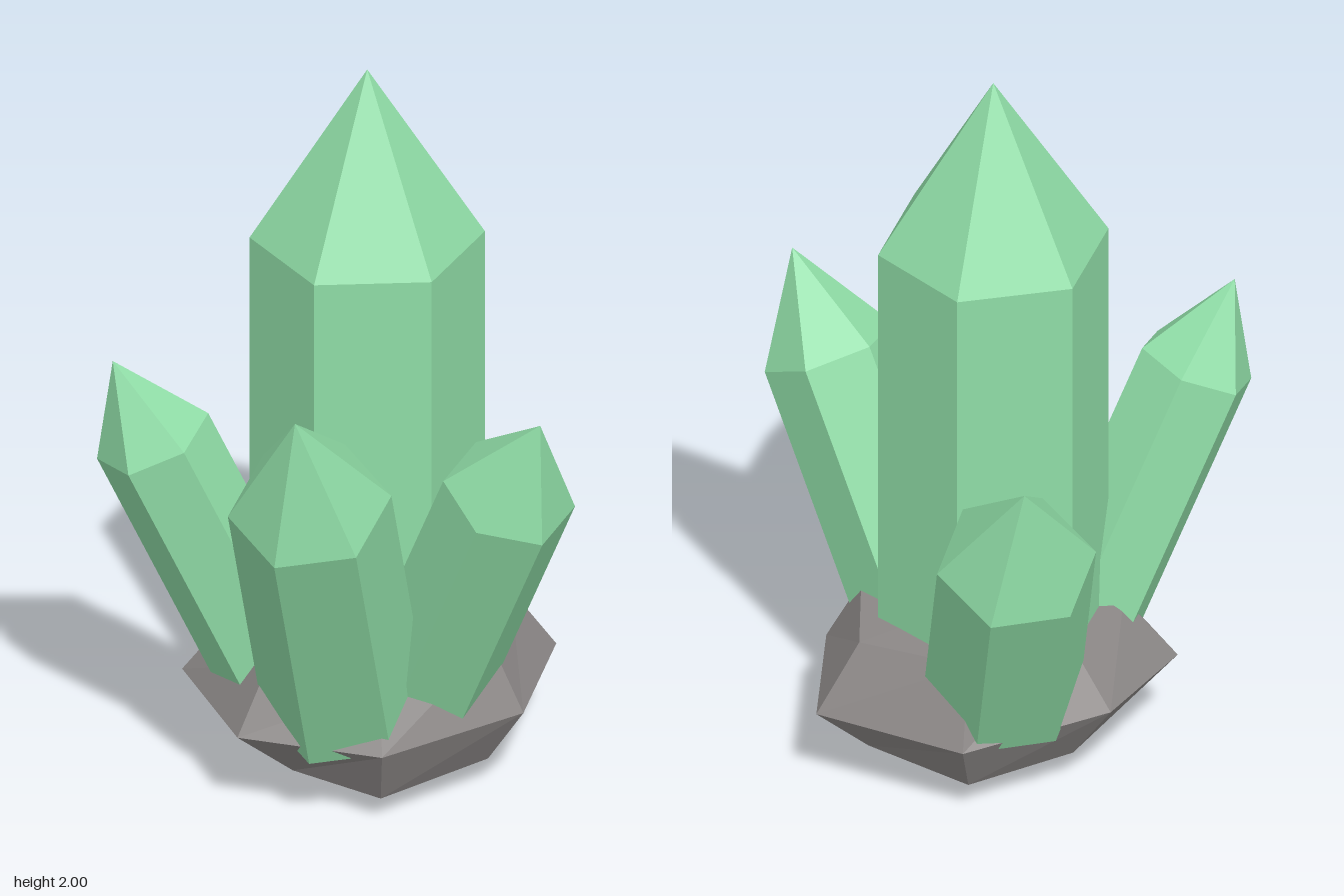
import * as THREE from 'three';

const crystalMat = new THREE.MeshStandardMaterial({ color: 0x8fdca6, flatShading: true });
const rockMat = new THREE.MeshStandardMaterial({ color: 0x8c8887, flatShading: true });

// Six-sided prism with a pointed tip; shoulder = centre of the ring below the tip
function crystal(name, radius, shoulder, tip, baseY) {
  const top = new THREE.Vector3(...tip);
  const ring = new THREE.Vector3(...shoulder);
  const axis = top.clone().sub(ring);
  const tipLength = axis.length();
  axis.normalize();
  const bodyLength = (ring.y - baseY) / axis.y;
  const profile = [
    [0, 0], [radius, 0], [radius, bodyLength], [0, bodyLength + tipLength],
  ].map(([x, y]) => new THREE.Vector2(x, y));
  const mesh = new THREE.Mesh(new THREE.LatheGeometry(profile, 6), crystalMat);
  mesh.name = name;
  mesh.quaternion.setFromUnitVectors(new THREE.Vector3(0, 1, 0), axis);
  mesh.position.copy(ring).addScaledVector(axis, -bodyLength);
  return mesh;
}

// Irregular seven-sided boulder: three rings around a centre, closed by two poles
function rockBase() {
  const cx = 0.1, cz = -0.05;
  const outline = [
    [0.57, 0.07], [0.3, 0.33], [-0.13, 0.33], [-0.38, 0.04],
    [-0.3, -0.34], [0.03, -0.45], [0.42, -0.32],
  ];
  const n = outline.length;
  const rings = [
    { y: 0.08, scale: [0.69, 0.76, 0.79, 0.6, 0.66, 0.7, 0.75], lift: [0.02, 0, -0.01, -0.01, 0, 0.01, 0] },
    { y: 0.24, scale: Array(n).fill(1), lift: [0, 0, 0, 0, 0, 0.02, 0] },
    { y: 0.42, scale: [0.745, 0.78, 0.76, 0.78, 0.72, 0.66, 0.75], lift: [0, 0, -0.04, -0.01, 0, 0.01, 0.02] },
  ];
  const positions = [];
  for (const { y, scale, lift } of rings) {
    outline.forEach(([x, z], i) =>
      positions.push(cx + (x - cx) * scale[i], y + lift[i], cz + (z - cz) * scale[i]));
  }
  const bottom = 3 * n, peak = bottom + 1;
  positions.push(0.11, 0, -0.06, cx, 0.45, cz);

  const index = [];
  for (let i = 0; i < n; i++) {
    const j = (i + 1) % n;
    index.push(bottom, i, j);
    for (let r = 0; r < 2; r++) {
      const a = r * n + i, b = r * n + j;
      index.push(a, a + n, b, b, a + n, b + n);
    }
    index.push(2 * n + i, peak, 2 * n + j);
  }
  const geo = new THREE.BufferGeometry();
  geo.setAttribute('position', new THREE.Float32BufferAttribute(positions, 3));
  geo.setIndex(index);
  geo.computeVertexNormals();
  const mesh = new THREE.Mesh(geo, rockMat);
  mesh.name = 'rockBase';
  return mesh;
}

export function createModel() {
  const model = new THREE.Group();
  model.name = 'crystalCluster';
  model.add(
    rockBase(),
    crystal('mainCrystal', 0.3, [0.08, 1.52, -0.06], [0.08, 2, -0.06], 0.2),
    crystal('frontRightCrystal', 0.21, [-0.35, 1.04, 0.33], [-0.46, 1.36, 0.43], 0.28),
    crystal('frontCrystal', 0.175, [0.165, 0.985, 0.47], [0.18, 1.235, 0.592], 0.28),
    crystal('backRightCrystal', 0.155, [-0.453, 1.01, -0.243], [-0.55, 1.24, -0.28], 0.28),
    crystal('backLeftCrystal', 0.207, [0.347, 0.845, -0.443], [0.428, 1.14, -0.562], 0.3),
  );
  return model;
}
